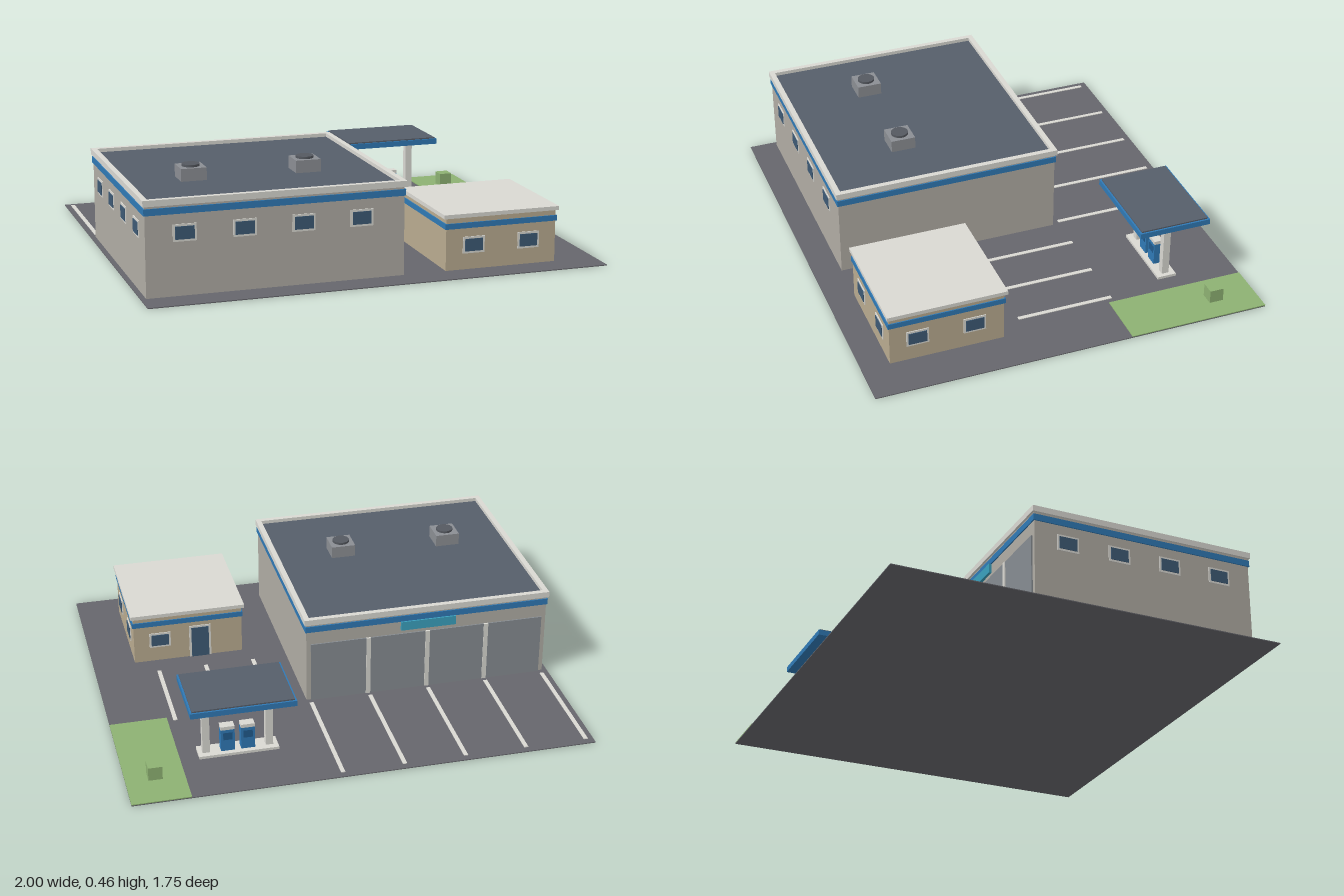
import * as THREE from 'three';

const colors = {
  asphalt: 0x66666c, grass: 0x8db172, white: 0xd9d8d2, wall: 0xb0aca4, tan: 0xb9ab90,
  blue: 0x2f79b5, darkBlue: 0x205a8c, glass: 0x3d5a75, roof: 0x565e6a, door: 0x868c91,
  unit: 0x8b8e93, fan: 0x555960, teal: 0x3aa0bd,
};
const mats = {};
for (const k in colors) mats[k] = new THREE.MeshStandardMaterial({ color: colors[k] });

// Box given by its extents on each axis
function box(parent, name, mat, [x0, x1], [y0, y1], [z0, z1]) {
  const m = new THREE.Mesh(new THREE.BoxGeometry(x1 - x0, y1 - y0, z1 - z0), mats[mat]);
  m.position.set((x0 + x1) / 2, (y0 + y1) / 2, (z0 + z1) / 2);
  m.name = name;
  parent.add(m);
  return m;
}

function group(parent, name) {
  const g = new THREE.Group();
  g.name = name;
  parent.add(g);
  return g;
}

// Framed window, facing +z before being turned by angle
function addWindow(parent, x, y, z, angle) {
  const g = group(parent, 'window');
  box(g, 'windowFrame', 'white', [-0.049, 0.049], [-0.036, 0.036], [-0.002, 0.004]);
  box(g, 'windowGlass', 'glass', [-0.04, 0.04], [-0.027, 0.027], [0, 0.007]);
  g.position.set(x, y, z);
  g.rotation.y = angle;
}

// Rectangular rim extruded upwards
function addRim(parent, name, mat, [x0, x1], [y0, y1], [z0, z1], t) {
  const rect = (C, d) => new C([[x0 + d, -z1 + d], [x1 - d, -z1 + d], [x1 - d, -z0 - d], [x0 + d, -z0 - d]]
    .map(p => new THREE.Vector2(...p)));
  const shape = rect(THREE.Shape, 0);
  shape.holes.push(rect(THREE.Path, t));
  const geo = new THREE.ExtrudeGeometry(shape, { depth: y1 - y0, bevelEnabled: false });
  geo.rotateX(-Math.PI / 2).translate(0, y0, 0);
  const m = new THREE.Mesh(geo, mats[mat]);
  m.name = name;
  parent.add(m);
}

function addSite(root) {
  const g = group(root, 'site');
  box(g, 'pavement', 'asphalt', [-1, 1], [0, 0.004], [-0.875, 0.875]);
  box(g, 'lawn', 'grass', [0.75, 1], [0.002, 0.008], [-0.875, -0.255]);
  box(g, 'shrub', 'grass', [0.845, 0.905], [0.006, 0.068], [-0.72, -0.658]);
  for (const x of [-0.967, -0.698, -0.43, -0.162, 0.106])
    box(g, 'parkingLine', 'white', [x - 0.009, x + 0.009], [0.002, 0.007], [-0.845, -0.28]);
  for (const x of [0.28, 0.5, 0.715])
    box(g, 'parkingLine', 'white', [x - 0.009, x + 0.009], [0.002, 0.007], [-0.28, 0.15]);
}

function addGarage(root) {
  const g = group(root, 'garage');
  box(g, 'walls', 'wall', [-0.978, 0.122], [0.003, 0.386], [-0.25, 0.752]);
  box(g, 'roof', 'roof', [-0.97, 0.115], [0.38, 0.394], [-0.245, 0.745]);
  box(g, 'band', 'blue', [-0.983, 0.127], [0.346, 0.374], [-0.255, 0.757]);
  addRim(g, 'parapet', 'white', [-0.987, 0.131], [0.384, 0.41], [-0.26, 0.761], 0.024);

  for (const x of [-0.815, -0.565, -0.315, -0.065]) addWindow(g, x, 0.267, 0.752, 0);
  for (const z of [-0.1, 0.135, 0.37, 0.605]) addWindow(g, -0.978, 0.267, z, -Math.PI / 2);

  // Bay doors with posts between them
  for (let i = 0; i < 4; i++) {
    const x = -0.833 + i * 0.27;
    box(g, 'bayDoor', 'door', [x - 0.125, x + 0.125], [0.004, 0.285], [-0.256, -0.245]);
    if (i) box(g, 'doorPost', 'white', [x - 0.145, x - 0.125], [0.004, 0.285], [-0.259, -0.245]);
  }
  box(g, 'signPanel', 'teal', [-0.555, -0.305], [0.305, 0.347], [-0.262, -0.245]);

  // Rooftop vents
  for (const x of [-0.69, -0.19]) {
    const v = group(g, 'roofVent');
    box(v, 'ventBox', 'unit', [x - 0.055, x + 0.055], [0.39, 0.448], [0.315, 0.425]);
    const fan = new THREE.Mesh(new THREE.CylinderGeometry(0.038, 0.038, 0.012, 24), mats.fan);
    fan.position.set(x, 0.452, 0.37);
    fan.name = 'ventFan';
    v.add(fan);
  }
}

function addOffice(root) {
  const g = group(root, 'office');
  box(g, 'walls', 'tan', [0.31, 0.81], [0.003, 0.232], [0.25, 0.752]);
  box(g, 'band', 'blue', [0.305, 0.815], [0.184, 0.208], [0.245, 0.757]);
  box(g, 'roofSlab', 'white', [0.298, 0.822], [0.231, 0.248], [0.237, 0.761]);
  for (const x of [0.435, 0.685]) addWindow(g, x, 0.11, 0.752, 0);
  for (const z of [0.38, 0.63]) addWindow(g, 0.81, 0.11, z, Math.PI / 2);
  addWindow(g, 0.69, 0.11, 0.25, Math.PI);
  box(g, 'doorFrame', 'white', [0.455, 0.555], [0.004, 0.162], [0.246, 0.255]);
  box(g, 'door', 'glass', [0.465, 0.545], [0.004, 0.153], [0.243, 0.255]);
}

function addFuelIsland(root) {
  const g = group(root, 'fuelIsland');
  box(g, 'canopy', 'blue', [0.273, 0.722], [0.284, 0.309], [-0.728, -0.404]);
  box(g, 'canopyRoof', 'roof', [0.281, 0.714], [0.3, 0.315], [-0.72, -0.412]);
  box(g, 'kerb', 'white', [0.325, 0.67], [0.003, 0.016], [-0.608, -0.522]);
  for (const x of [0.362, 0.635])
    box(g, 'column', 'white', [x - 0.016, x + 0.016], [0.01, 0.288], [-0.581, -0.549]);
  for (const x of [0.455, 0.542]) {
    const p = group(g, 'pump');
    box(p, 'pumpBody', 'blue', [x - 0.03, x + 0.03], [0.012, 0.118], [-0.585, -0.545]);
    box(p, 'pumpCap', 'white', [x - 0.03, x + 0.03], [0.118, 0.134], [-0.585, -0.545]);
    box(p, 'pumpPanel', 'darkBlue', [x - 0.02, x + 0.02], [0.07, 0.105], [-0.587, -0.543]);
  }
}

export function createModel() {
  const root = new THREE.Group();
  root.name = 'serviceStation';
  addSite(root);
  addGarage(root);
  addOffice(root);
  addFuelIsland(root);
  return root;
}
